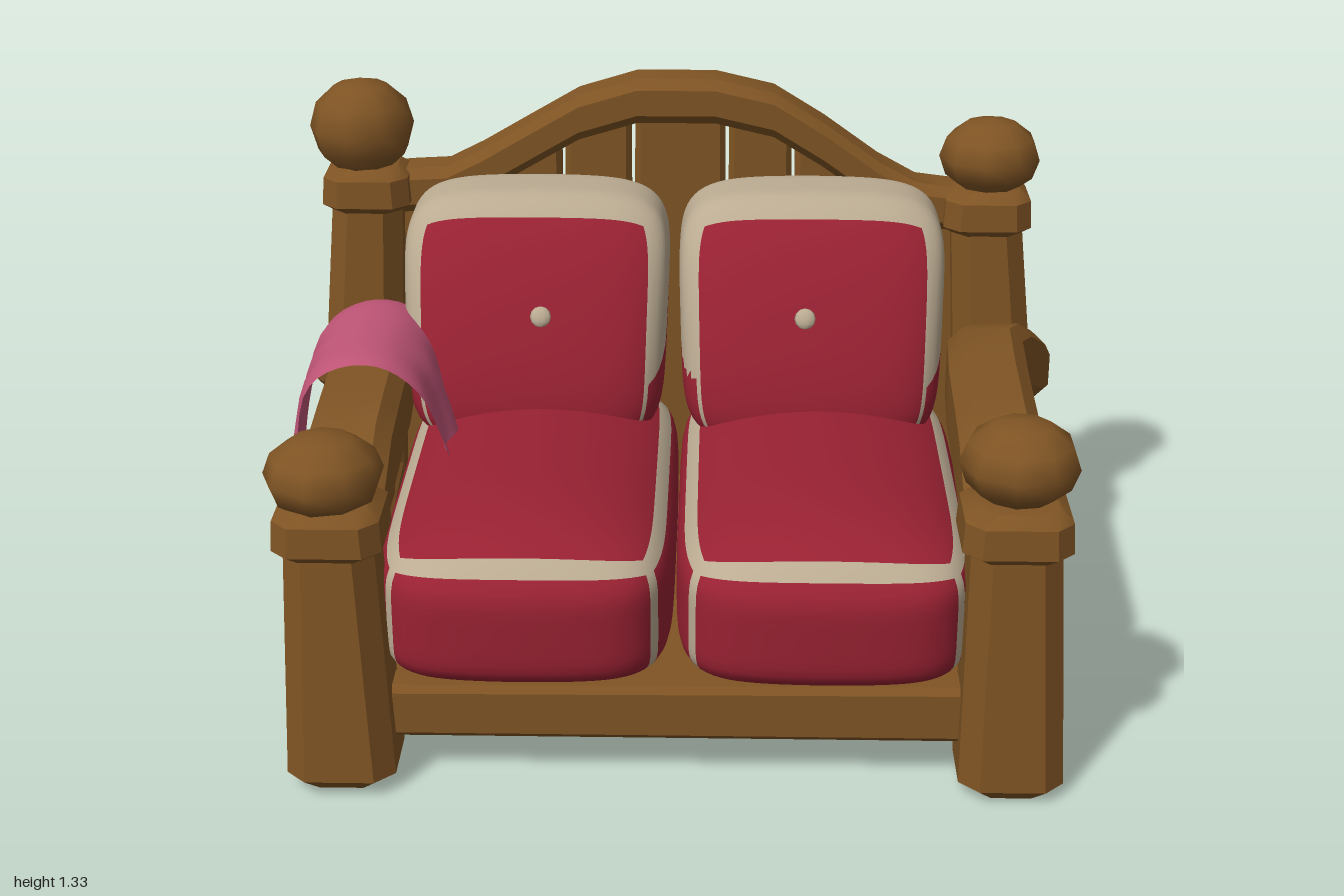
import * as THREE from 'three';
import { mergeVertices, toCreasedNormals } from 'three/addons/utils/BufferGeometryUtils.js';

const mat = (name, color, side = THREE.FrontSide) => {
  const m = new THREE.MeshStandardMaterial({ color, side });
  m.name = name;
  return m;
};

// Chamfered beam along axis k (0 x, 1 y, 2 z).
// Each section: [position, centre1, centre2, half1, half2], on the next two axes in cyclic order.
function loft(k, sections, chamfer = 0.025) {
  const a = (k + 1) % 3, b = (k + 2) % 3;
  const rings = sections.map(([p, c1, c2, h1, h2]) => {
    const c = Math.min(chamfer, h1 * 0.6, h2 * 0.6);
    const outline = [[h1, c - h2], [h1, h2 - c], [h1 - c, h2], [c - h1, h2],
      [-h1, h2 - c], [-h1, c - h2], [c - h1, -h2], [h1 - c, -h2]];
    return outline.map(([u, v]) => {
      const q = [0, 0, 0];
      q[k] = p; q[a] = c1 + u; q[b] = c2 + v;
      return q;
    });
  });
  const pos = [];
  const tri = (...pts) => pts.forEach((p) => pos.push(...p));
  for (let i = 0; i < rings.length - 1; i++) {
    const lo = rings[i], hi = rings[i + 1];
    for (let j = 0; j < 8; j++) {
      const n = (j + 1) % 8;
      tri(lo[j], lo[n], hi[n]);
      tri(lo[j], hi[n], hi[j]);
    }
  }
  const first = rings[0], last = rings[rings.length - 1];
  for (let j = 1; j < 7; j++) {
    tri(first[0], first[j + 1], first[j]);
    tri(last[0], last[j], last[j + 1]);
  }
  const g = new THREE.BufferGeometry();
  g.setAttribute('position', new THREE.Float32BufferAttribute(pos, 3));
  return toCreasedNormals(g, 0.6);
}

// Soft cushion: a cube rounded by a power norm, placed by shape(), with trim faces chosen by isTrim()
function cushionGeometry(half, power, shape, isTrim) {
  const seg = half.map((h) => Math.ceil((2 * h) / 0.022));
  let g = new THREE.BoxGeometry(2, 2, 2, ...seg);
  g.deleteAttribute('normal');
  g.deleteAttribute('uv');
  g.clearGroups();
  g = mergeVertices(g, 1e-4);
  const p = g.attributes.position, cube = [], placed = [];
  for (let i = 0; i < p.count; i++) {
    const c = new THREE.Vector3().fromBufferAttribute(p, i);
    const norm = (Math.abs(c.x) ** power + Math.abs(c.y) ** power + Math.abs(c.z) ** power) ** (1 / power);
    const q = shape(c.clone().divideScalar(norm));
    cube.push(c);
    placed.push(q);
    p.setXYZ(i, q.x, q.y, q.z);
  }
  const main = [], trim = [], idx = g.index.array;
  const mid = (list, t) => list[t[0]].clone().add(list[t[1]]).add(list[t[2]]).divideScalar(3);
  for (let i = 0; i < idx.length; i += 3) {
    const t = [idx[i], idx[i + 1], idx[i + 2]];
    (isTrim(mid(cube, t), mid(placed, t)) ? trim : main).push(...t);
  }
  g.setIndex([...main, ...trim]);
  g.addGroup(0, main.length, 0);
  g.addGroup(main.length, trim.length, 1);
  g.computeVertexNormals();
  return g;
}

export function createModel() {
  const model = new THREE.Group();
  model.name = 'sofa';
  const wood = mat('wood brown', 0x7f5424);
  const red = mat('cushion red', 0x982132);
  const cream = mat('trim cream', 0xbbab92);
  const pink = mat('blanket pink', 0xbe5476, THREE.DoubleSide);
  const add = (name, geo, material) => {
    const m = new THREE.Mesh(geo, material);
    m.name = name;
    model.add(m);
    return m;
  };

  // Posts with collars and round finials
  const post = (name, y0, y1, bottom, top, hb, ht, ball) => {
    const [bx, bz] = bottom, [tx, tz] = top;
    const at = (t, s = 0) => [y0 + (y1 - y0) * t, bz + (tz - bz) * t, bx + (tx - bx) * t,
      hb + (ht - hb) * t - s, hb + (ht - hb) * t - s];
    add(name, loft(1, [at(0, 0.03), at(0.05), at(0.5), at(1)], 0.045), wood);
    add(name + 'Collar', loft(1, [[y1 - 0.03, tz, tx, ht, ht], [y1 - 0.01, tz, tx, ht + 0.022, ht + 0.022],
      [y1 + 0.06, tz, tx, ht + 0.018, ht + 0.018], [y1 + 0.085, tz, tx, ht - 0.01, ht - 0.01]], 0.04), wood);
    const finial = add(name + 'Finial', new THREE.SphereGeometry(1, 9, 6), wood);
    finial.position.set(ball[0], ball[1], ball[2]);
    finial.scale.set(ball[3], ball[4], ball[3]);
  };
  post('frontRightPost', 0.01, 0.61, [-0.735, 0.585], [-0.74, 0.58], 0.125, 0.1, [-0.75, 0.75, 0.58, 0.135, 0.095]);
  post('frontLeftPost', 0.0, 0.62, [0.785, 0.585], [0.77, 0.575], 0.12, 0.1, [0.775, 0.785, 0.56, 0.135, 0.1]);
  post('backRightPost', 0.07, 1.02, [-0.85, -0.565], [-0.795, -0.585], 0.115, 0.09, [-0.805, 1.2, -0.58, 0.135, 0.125]);
  post('backLeftPost', 0.07, 0.97, [0.87, -0.565], [0.8, -0.585], 0.115, 0.09, [0.805, 1.13, -0.585, 0.13, 0.1]);

  // Arms: curved rails that swing round the back posts, with slats and a lower rail
  const armProfile = [
    // z, x, bottom, top, half width
    [-0.69, 0.915, 0.49, 0.59, 0.06], [-0.67, 0.915, 0.465, 0.61, 0.077], [-0.55, 0.905, 0.475, 0.63, 0.082],
    [-0.48, 0.87, 0.495, 0.69, 0.088], [-0.4, 0.82, 0.54, 0.74, 0.095], [-0.3, 0.785, 0.55, 0.765, 0.095],
    [-0.1, 0.775, 0.55, 0.76, 0.097], [0.12, 0.77, 0.55, 0.755, 0.097], [0.3, 0.765, 0.55, 0.75, 0.097],
    [0.4, 0.765, 0.53, 0.69, 0.095], [0.5, 0.765, 0.49, 0.58, 0.085]];
  const sideEdges = [-0.335, -0.17, 0, 0.14, 0.33, 0.5];
  for (const [s, shift, side] of [[1, 0, 'left'], [-1, -0.03, 'right']]) {
    const X = (x) => s * (x + shift);
    add(side + 'Arm', loft(2, armProfile.map(([z, x, y0, y1, h]) =>
      [z, X(x), (y0 + y1) / 2, h, (y1 - y0) / 2]), 0.035), wood);
    add(side + 'LowerRail', loft(2, [[-0.5, X(0.82), 0.205, 0.06, 0.105], [0.5, X(0.79), 0.185, 0.06, 0.085]]), wood);
    for (let i = 0; i < 5; i++) {
      const z = (sideEdges[i] + sideEdges[i + 1]) / 2, h = (sideEdges[i + 1] - sideEdges[i]) / 2 - 0.002;
      add(side + 'ArmSlat', loft(1, [[0.12, z, X(0.79), h, 0.025], [0.6, z, X(0.775), h, 0.025]], 0.012), wood);
    }
    add(side + 'RearSlat', loft(1, [[0.12, -0.42, X(0.8), 0.035, 0.025], [0.6, -0.4, X(0.79), 0.025, 0.025]], 0.012), wood);
  }

  // Arched top rail of the back
  const arch = [[-0.8, 1.08], [-0.68, 1.09], [-0.59, 1.095], [-0.5, 1.14], [-0.38, 1.21], [-0.25, 1.285], [-0.1, 1.33],
    [0.1, 1.33], [0.25, 1.295], [0.38, 1.215], [0.52, 1.115], [0.62, 1.06], [0.7, 1.05], [0.8, 1.04]];
  add('backTopRail', loft(0, arch.map(([x, y]) => [x, y - 0.058, -0.617, 0.058, 0.07])), wood);

  // Back slats, reaching up into the arch
  const archY = (x) => {
    const i = Math.max(1, arch.findIndex((p) => p[0] >= x));
    const [x0, y0] = arch[i - 1], [x1, y1] = arch[i];
    return y0 + ((y1 - y0) * (x - x0)) / (x1 - x0);
  };
  const backEdges = [-0.79, -0.62, -0.45, -0.29, -0.11, 0.13, 0.3, 0.47, 0.63, 0.79];
  for (let i = 0; i < 9; i++) {
    const x = (backEdges[i] + backEdges[i + 1]) / 2, h = (backEdges[i + 1] - backEdges[i]) / 2;
    add('backSlat', loft(1, [[0.1, -0.615, x * 1.05, 0.03, h * 1.05 - 0.002],
      [archY(x) - 0.06, -0.615, x, 0.03, h - 0.005]], 0.014), wood);
  }

  // Base and front rail
  add('base', new THREE.BoxGeometry(1.62, 0.12, 1.2), wood).position.set(0.01, 0.162, -0.02);
  add('frontRail', loft(0, [[-0.75, 0.165, 0.56, 0.065, 0.05], [0.78, 0.17, 0.56, 0.07, 0.05]], 0.015), wood);

  // Seat cushions with piping, back cushions with a cream border and a button
  for (const [side, x0, x1] of [['right', -0.66, 0.015], ['left', 0.02, 0.7]]) {
    const cx = (x0 + x1) / 2, hx = (x1 - x0) / 2;
    const half = [hx, 0.15, 0.58];
    const seat = cushionGeometry(half, 6, (c) => new THREE.Vector3(
      cx + c.x * hx,
      0.39 + c.y * 0.15 + Math.max(0, c.y) * 0.08 * (1 - c.x * c.x) * (1 - c.z ** 4),
      0.08 + c.z * 0.56 + Math.max(0, c.z) * 0.035 * (1 - c.x * c.x)),
    (c) => c.toArray().filter((v, i) => (1 - Math.abs(v)) * half[i] < 0.026).length > 1);
    add(side + 'SeatCushion', seat, [red, cream]);

    const bx = side === 'left' ? 0.345 : -0.345, bh = 0.335;
    const back = cushionGeometry([bh, 0.3, 0.2], 5.5, (c) => {
      const t = (c.y + 1) / 2;
      const front = -0.11 - 0.2 * t * t - 0.03 * t + 0.03 * (1 - c.x * c.x), rear = -0.56;
      return new THREE.Vector3(bx + c.x * bh * (0.95 + 0.06 * t),
        0.79 + c.y * 0.29 + 0.02 * Math.max(0, c.y) * (1 - c.x * c.x),
        rear + ((front - rear) * (c.z + 1)) / 2);
    }, (c, q) => {
      if (c.z > 0.999) return (1 - Math.abs(c.x)) * bh < 0.028 || (1 - c.y) * 0.3 < 0.024;
      return c.z > -0.999 && c.y > -0.999 && q.y + 0.68 * q.z > 0.56;
    });
    add(side + 'BackCushion', back, [red, cream]);
    const button = add(side + 'Button', new THREE.SphereGeometry(0.026, 10, 6), cream);
    button.position.set(side === 'left' ? 0.325 : -0.325, 0.84, -0.158);
    button.rotation.x = -0.4;
    button.scale.z = 0.45;
  }

  // Blanket draped over the right arm: a plane bent along a curve, with growing folds
  const drape = new THREE.CatmullRomCurve3([[-0.525, 0.54], [-0.555, 0.66], [-0.6, 0.77], [-0.68, 0.83], [-0.78, 0.83],
    [-0.87, 0.77], [-0.915, 0.62], [-0.94, 0.48], [-0.95, 0.34]].map(([x, y]) => new THREE.Vector3(x, y, 0)));
  const onBlanket = (u, v) => {
    const p = drape.getPoint(u);
    const zBack = -0.2 - 0.18 * Math.sqrt(u), zFront = 0.125;
    const z = zBack + (zFront - zBack) * v;
    const fall = Math.max(0, (u - 0.55) / 0.45), inner = Math.max(0, (0.3 - u) / 0.3);
    p.x += fall * (0.014 * Math.sin(v * 20) + 0.07 * (v - 0.5)) + inner * 0.015 * Math.sin(v * 14);
    p.y -= 0.015 * Math.abs(2 * v - 1) ** 6;
    p.z = z;
    return p;
  };
  const cloth = new THREE.PlaneGeometry(1, 1, 28, 28);
  const cp = cloth.attributes.position;
  for (let i = 0; i < cp.count; i++) {
    const q = onBlanket(cp.getX(i) + 0.5, cp.getY(i) + 0.5);
    cp.setXYZ(i, q.x, q.y, q.z);
  }
  cloth.computeVertexNormals();
  add('blanket', cloth, pink);

  // Tassels along the outer hem
  for (let i = 0; i < 8; i++) {
    const len = 0.13 + 0.03 * Math.sin(i * 2.3);
    const tassel = add('tassel', new THREE.CylinderGeometry(0.012, 0.022, len, 6), pink);
    tassel.position.copy(onBlanket(1, (i + 0.5) / 8));
    tassel.position.y -= len / 2 - 0.015;
    tassel.rotation.x = 0.18 * Math.sin(i * 1.7);
  }
  return model;
}
